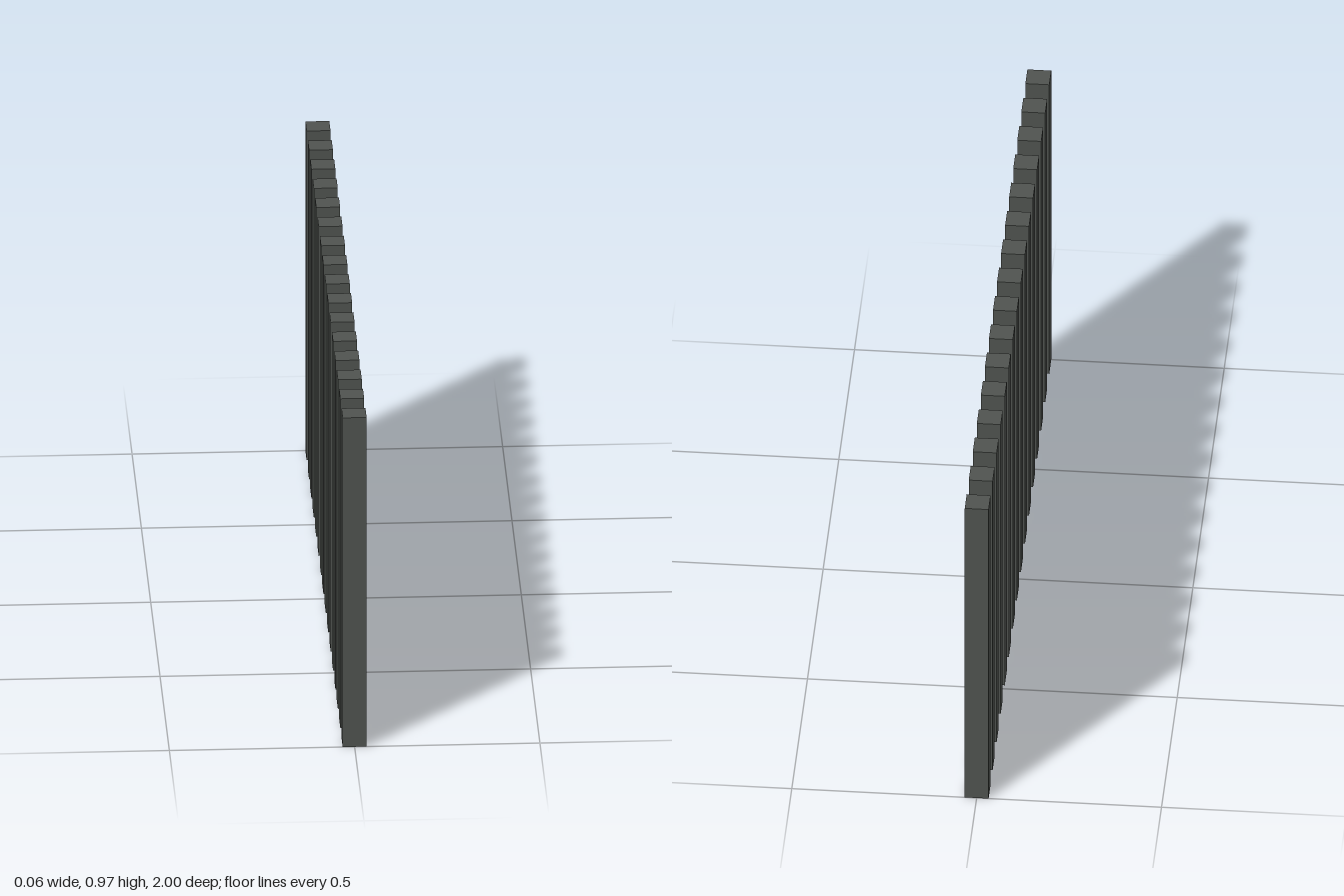
import * as THREE from 'three';

export function createModel() {
  const group = new THREE.Group();
  group.name = 'slatScreen';

  const darkGrey = new THREE.MeshStandardMaterial({ color: 0x505450 });
  darkGrey.name = 'darkGrey';

  // Square upright slats, with gaps as wide as the slats
  const count = 16;
  const width = 2 / (2 * count - 1);
  const height = 15 * width;
  const slatGeometry = new THREE.BoxGeometry(width, height, width);

  for (let i = 0; i < count; i++) {
    const slat = new THREE.Mesh(slatGeometry, darkGrey);
    slat.name = `slat${i + 1}`;
    slat.position.set(0, height / 2, (i - (count - 1) / 2) * 2 * width);
    group.add(slat);
  }
  return group;
}
